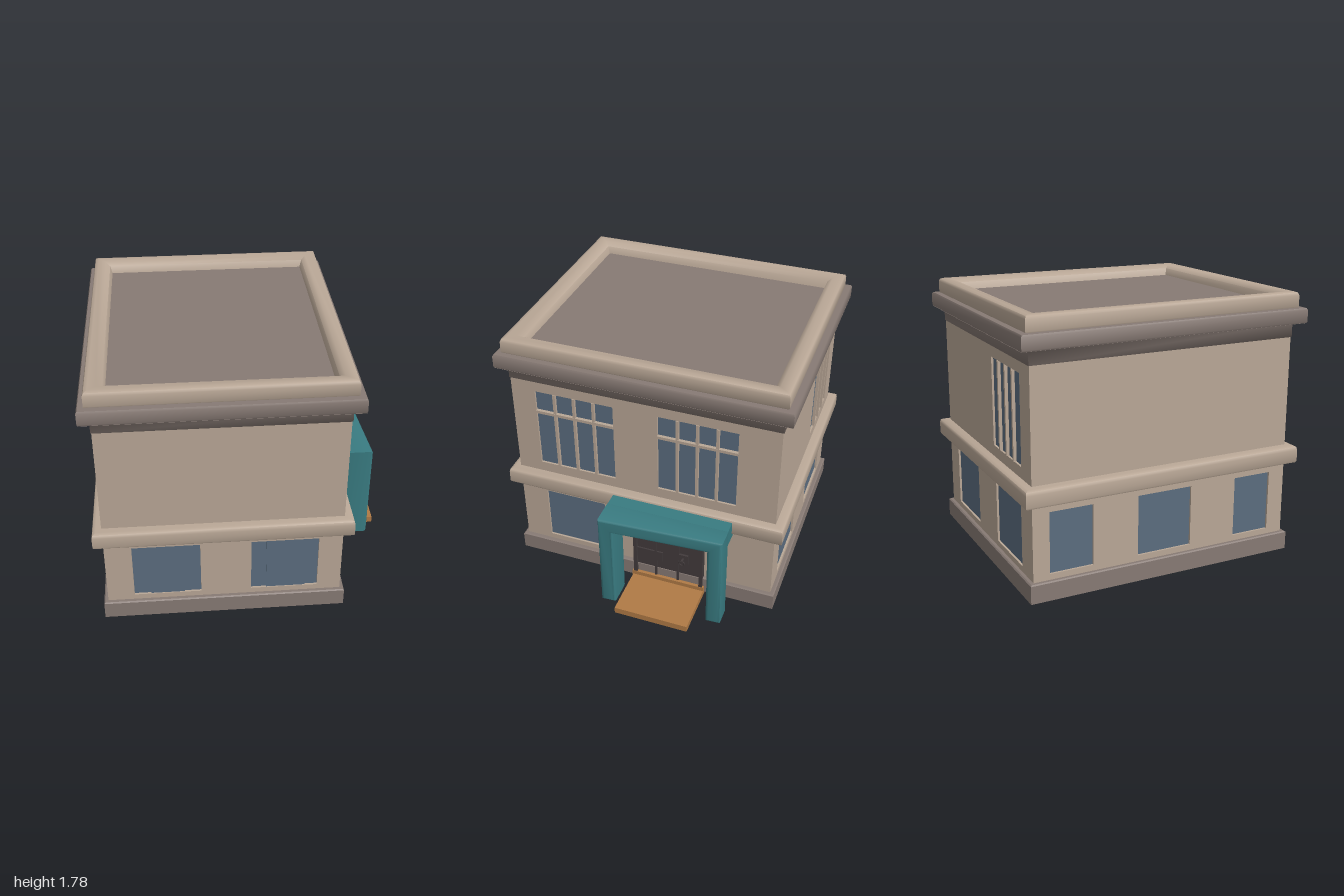
import * as THREE from 'three';
import { toCreasedNormals } from 'three/addons/utils/BufferGeometryUtils.js';

const mat = (name, color, side = THREE.FrontSide) => {
  const m = new THREE.MeshStandardMaterial({ color, side });
  m.name = name;
  return m;
};

// Footprint of the walls
const X0 = -0.935, X1 = 0.605, Z0 = -0.9, Z1 = 0.905;

export function createModel() {
  const plaster = mat('plaster', 0xb9a796);
  const stone = mat('stone trim', 0x877a74, THREE.DoubleSide);
  const glass = mat('window glass', 0x5b6d7f, THREE.DoubleSide);
  const teal = mat('teal paint', 0x397b81);
  const wood = mat('orange wood', 0xb07a45);
  const dark = mat('dark door', 0x423b3c);
  const model = new THREE.Group();
  model.name = 'building';

  const add = (name, geo, material, parent = model) => {
    const m = new THREE.Mesh(geo, material);
    m.name = name;
    parent.add(m);
    return m;
  };
  // Box given by its minimum and maximum on each axis
  const box = (name, material, x0, x1, y0, y1, z0, z1, parent) => {
    const m = add(name, new THREE.BoxGeometry(x1 - x0, y1 - y0, z1 - z0), material, parent);
    m.position.set((x0 + x1) / 2, (y0 + y1) / 2, (z0 + z1) / 2);
    return m;
  };
  const rect = (Type, a, b, c, d) => {
    const p = new Type();
    p.moveTo(a, c).lineTo(b, c).lineTo(b, d).lineTo(a, d).closePath();
    return p;
  };

  // Mitred band round the footprint; profile points are [offset outward, y]
  function band(name, material, profile, crease) {
    const pos = [], idx = [], n = profile.length;
    const corner = (k, o) => [[X0 - o, Z1 + o], [X1 + o, Z1 + o], [X1 + o, Z0 - o], [X0 - o, Z0 - o]][k % 4];
    for (let k = 0; k < 4; k++) {
      profile.forEach(([o, y], i) => {
        for (const e of [0, 1]) {
          const [x, z] = corner(k + e, o);
          pos.push(x, y, z);
        }
        if (i < n - 1) {
          const a = 2 * (k * n + i);
          idx.push(a, a + 1, a + 3, a, a + 3, a + 2);
        }
      });
    }
    let g = new THREE.BufferGeometry();
    g.setAttribute('position', new THREE.Float32BufferAttribute(pos, 3));
    g.setIndex(idx);
    if (crease) g = toCreasedNormals(g, crease);
    else g.computeVertexNormals();
    add(name, g, material);
  }

  // Wall with window openings; u runs to the right seen from outside
  // window: [u0, u1, y0, y1, vertical bars, cross bar y, raised centre pane]
  function wall(name, rot, px, pz, a, b, windows) {
    const g = new THREE.Group();
    g.name = name;
    g.rotation.y = rot;
    g.position.set(px, 0, pz);
    model.add(g);
    const shape = rect(THREE.Shape, a, b, 0.04, 1.6);
    for (const [u0, u1, v0, v1, bars, cross, pane] of windows) {
      shape.holes.push(rect(THREE.Path, u0, u1, v0, v1));
      box('windowGlass', glass, u0 - 0.01, u1 + 0.01, v0 - 0.01, v1 + 0.01, -0.022, -0.014, g);
      const frame = rect(THREE.Shape, u0 - 0.02, u1 + 0.02, v0 - 0.02, v1 + 0.02);
      frame.holes.push(rect(THREE.Path, u0 + 0.005, u1 - 0.005, v0 + 0.005, v1 - 0.005));
      add('innerWindowFrame', new THREE.ExtrudeGeometry(frame, { depth: 0.015, bevelEnabled: false }), dark, g)
        .position.z = -0.044;
      for (let i = 1; i <= bars; i++) {
        const u = u0 + (u1 - u0) * i / (bars + 1);
        box('windowBar', plaster, u - 0.009, u + 0.009, v0, v1, -0.016, 0.006, g);
      }
      if (cross) box('windowCrossBar', plaster, u0, u1, cross - 0.01, cross + 0.01, -0.016, 0.008, g);
      if (pane) box('centrePane', glass, pane[0], pane[1], v0, v1, -0.014, -0.006, g);
    }
    add('wallPanel', new THREE.ExtrudeGeometry(shape, { depth: 0.03, bevelEnabled: false }), plaster, g)
      .position.z = -0.03;
  }

  const L = [0.19, 0.59], U = [0.84, 1.415];
  wall('frontWall', 0, 0, Z1, X0, X1, [
    [-0.76, -0.32, ...L, 0, 0, [-0.65, -0.43]], [0.01, 0.45, ...L, 0, 0, [0.11, 0.37]]]);
  wall('rightWall', Math.PI / 2, X1, 0, -Z1, -Z0, [
    [-0.72, -0.29, ...L, 0], [-0.74, -0.2, ...U, 3, 1.26], [0.1, 0.63, ...U, 3, 1.26]]);
  wall('backWall', Math.PI, 0, Z0, -X1, -X0, [
    [-0.44, -0.01, ...L, 0], [0.33, 0.76, ...L, 0], [0.31, 0.78, ...U, 3]]);
  wall('leftWall', -Math.PI / 2, X0, 0, Z0, Z1, [
    [-0.79, -0.5, ...L, 0], [-0.19, 0.19, ...L, 0], [0.52, 0.79, ...L, 0]]);

  // Flat roof over the hollow shell
  box('roof', stone, X0 + 0.03, X1 - 0.03, 1.69, 1.71, Z0 + 0.03, Z1 - 0.03);

  // Horizontal bands
  band('plinth', stone, [[-0.03, 0.028], [0.028, 0.028], [0.028, 0.145], [0.02, 0.152], [-0.01, 0.152]], 0.5);
  band('middleBand', plaster, [[-0.01, 0.65], [0.055, 0.65], [0.06, 0.66], [0.06, 0.735],
    [0.055, 0.757], [0.035, 0.765], [-0.01, 0.768]], 1);
  band('frieze', stone, [[-0.1, 1.485], [0.005, 1.49], [0.005, 1.582], [0.069, 1.586]], 0);
  band('cornice', stone, [[0.0, 1.586], [0.066, 1.586], [0.071, 1.595], [0.071, 1.67],
    [0.064, 1.682], [-0.03, 1.685]], 0.9);
  band('parapet', plaster, [[0.024, 1.68], [0.029, 1.69], [0.029, 1.76], [0.022, 1.778], [0, 1.785],
    [-0.05, 1.778], [-0.08, 1.758], [-0.095, 1.705]], 1);

  // Entrance arch with rounded edges; its outer face slants in towards the back
  const arch = new THREE.Shape();
  [[-0.18, 0.045], [-0.12, 0.045], [-0.12, 0.67], [0.55, 0.67], [0.55, 0.045], [0.61, 0.045],
    [0.61, 0.725], [-0.18, 0.725]].forEach(([u, v], i) => (i ? arch.lineTo(u, v) : arch.moveTo(u, v)));
  const archGeo = new THREE.ExtrudeGeometry(arch, {
    depth: 0.155, bevelThickness: 0.02, bevelSize: 0.02, bevelSegments: 3 });
  archGeo.rotateY(Math.PI / 2).translate(0.76, 0, 0);
  const p = archGeo.attributes.position;
  for (let i = 0; i < p.count; i++) {
    const x = p.getX(i);
    p.setX(i, x - 0.055 * (0.2 - p.getZ(i)) / 0.83 * (x - 0.74) / 0.195);
  }
  add('entranceArch', toCreasedNormals(archGeo, 0.9), teal);
  box('canopy', teal, 0.59, 0.78, 0.652, 0.744, -0.628, 0.198);
  for (const z of [-0.628, 0.102]) box('canopySideBeam', teal, 0.59, 0.77, 0.62, 0.66, z, z + 0.096);
  box('canopyCeiling', wood, 0.6, 0.74, 0.63, 0.655, -0.535, 0.105);

  // Doorstep
  box('doorSill', wood, 0.6, 0.655, 0.015, 0.08, -0.44, 0.08);
  box('doorStep', wood, 0.61, 1.0, 0.005, 0.05, -0.44, 0.075);

  // Door with frame, transom, letter plate and handle
  box('doorPanel', dark, 0.57, 0.63, 0.08, 0.6, -0.425, 0.065);
  for (const z of [-0.43, 0.045]) box('doorPost', dark, 0.6, 0.652, 0.08, 0.61, z, z + 0.025);
  box('doorHead', dark, 0.6, 0.652, 0.59, 0.61, -0.43, 0.07);
  box('transomBar', dark, 0.62, 0.645, 0.485, 0.505, -0.42, 0.06);
  for (const z of [-0.25, -0.09]) box('doorStile', dark, 0.62, 0.64, 0.08, 0.6, z - 0.008, z + 0.008);
  box('letterPlate', dark, 0.62, 0.64, 0.22, 0.3, -0.14, 0.05);
  box('lockPlate', dark, 0.62, 0.645, 0.25, 0.33, -0.325, -0.26);
  const ring = add('doorHandle', new THREE.TorusGeometry(0.018, 0.005, 6, 14), dark);
  ring.rotation.y = Math.PI / 2;
  ring.position.set(0.67, 0.28, -0.29);
  box('handleStem', dark, 0.64, 0.675, 0.292, 0.304, -0.296, -0.284);

  return model;
}
